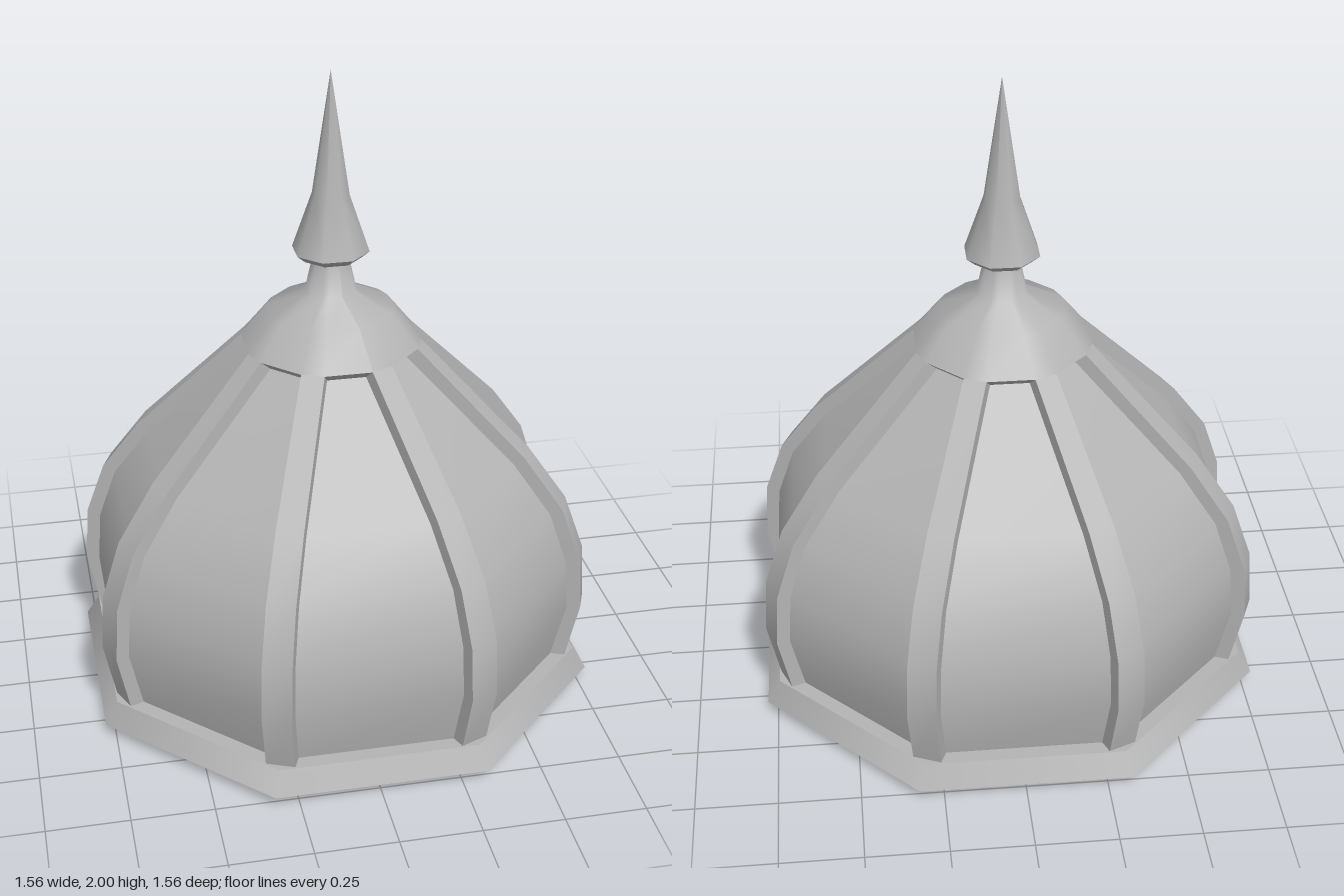
import * as THREE from 'three';
import { mergeGeometries } from 'three/addons/utils/BufferGeometryUtils.js';

const COS = Math.cos(Math.PI / 8), TAN = Math.tan(Math.PI / 8);

// Surface through rows of points; rows run upwards, points run towards the viewer's right
function loft(rows) {
  const n = rows[0].length, index = [];
  for (let r = 0; r < rows.length - 1; r++) {
    for (let i = 0; i < n - 1; i++) {
      const a = r * n + i, b = a + 1, c = a + n, d = c + 1;
      index.push(a, b, d, a, d, c);
    }
  }
  const g = new THREE.BufferGeometry();
  g.setAttribute('position', new THREE.Float32BufferAttribute(rows.flat(2), 3));
  g.setIndex(index);
  g.computeVertexNormals();
  return g;
}

// Smooth octagonal turning; profile is [apothem, y] from bottom to top
function octagon(profile) {
  const g = new THREE.LatheGeometry(
    profile.map(([a, y]) => new THREE.Vector2(a / COS, y)), 8, Math.PI / 8);
  return g;
}

// Half width of a rib whose outer face lies at the given radius
const ribHalf = (R) => (R > 0.276 ? 0.0355 + (R - 0.276) * 0.0185 : R * 0.1286);

// Ring with eight wide sides and eight narrow sides that continue the ribs
function ribbedRing(R, y) {
  const ring = [], h = ribHalf(R);
  for (let k = 0; k <= 8; k++) {
    const t = Math.PI / 8 + k * Math.PI / 4, s = Math.sin(t), c = Math.cos(t);
    ring.push([s * R - c * h, y, c * R + s * h], [s * R + c * h, y, c * R - s * h]);
  }
  return ring;
}

export function createModel() {
  const model = new THREE.Group();
  const stone = new THREE.MeshStandardMaterial({ color: 0xb4b4b4 });
  stone.name = 'grey stone';

  const add = (name, geometry, parent = model) => {
    const mesh = new THREE.Mesh(geometry, stone);
    mesh.name = name;
    parent.add(mesh);
    return mesh;
  };

  // Base plinth with bevelled underside
  add('baseUnderside', octagon([[0, 0], [0.69, 0], [0.78, 0.035]]));
  add('baseRim', octagon([[0.78, 0.035], [0.74, 0.105]]));
  add('baseTop', octagon([[0.74, 0.105], [0.6, 0.105]]));

  // Recessed dome panels, flat across and smooth upwards
  const panelProfile = [[0.692, 0.1], [0.733, 0.29], [0.722, 0.455], [0.668, 0.622],
    [0.556, 0.785], [0.236, 1.123]];
  const panel = loft(panelProfile.map(([a, y]) => [[-a * TAN, y, a], [a * TAN, y, a]]));
  const panels = new THREE.Group();
  panels.name = 'domePanels';
  model.add(panels);
  for (let k = 0; k < 8; k++) add('panel', panel, panels).rotation.y = k * Math.PI / 4;

  // Raised ribs along the corners: outer face and two side walls
  const ribProfile = [[0.776, 0.1], [0.817, 0.29], [0.806, 0.466], [0.743, 0.64],
    [0.617, 0.81], [0.276, 1.15]];
  const depth = 0.09;
  const rib = mergeGeometries([
    loft(ribProfile.map(([R, y]) => [[-ribHalf(R), y, R], [ribHalf(R), y, R]])),
    loft(ribProfile.map(([R, y]) => [[ribHalf(R), y, R], [ribHalf(R), y, R - depth]])),
    loft(ribProfile.map(([R, y]) => [[-ribHalf(R), y, R - depth], [-ribHalf(R), y, R]])),
  ]);
  const ribs = new THREE.Group();
  ribs.name = 'ribs';
  model.add(ribs);
  for (let k = 0; k < 8; k++) add('rib', rib, ribs).rotation.y = (k + 0.5) * Math.PI / 4;

  // Cap joining the ribs, with its slanted lower lip
  add('cap', loft([[0.276, 1.15], [0.193, 1.254], [0.078, 1.314], [0.052, 1.43]]
    .map(([R, y]) => ribbedRing(R, y))));
  add('capLip', loft([[0.24, 1.118], [0.276, 1.15]].map(([R, y]) => ribbedRing(R, y))));

  // Pointed finial
  add('finialUnderside', octagon([[0.04, 1.42], [0.085, 1.42], [0.11, 1.443]]));
  add('finialSpire', octagon([[0.11, 1.443], [0.053, 1.62], [0, 2]]));

  return model;
}
